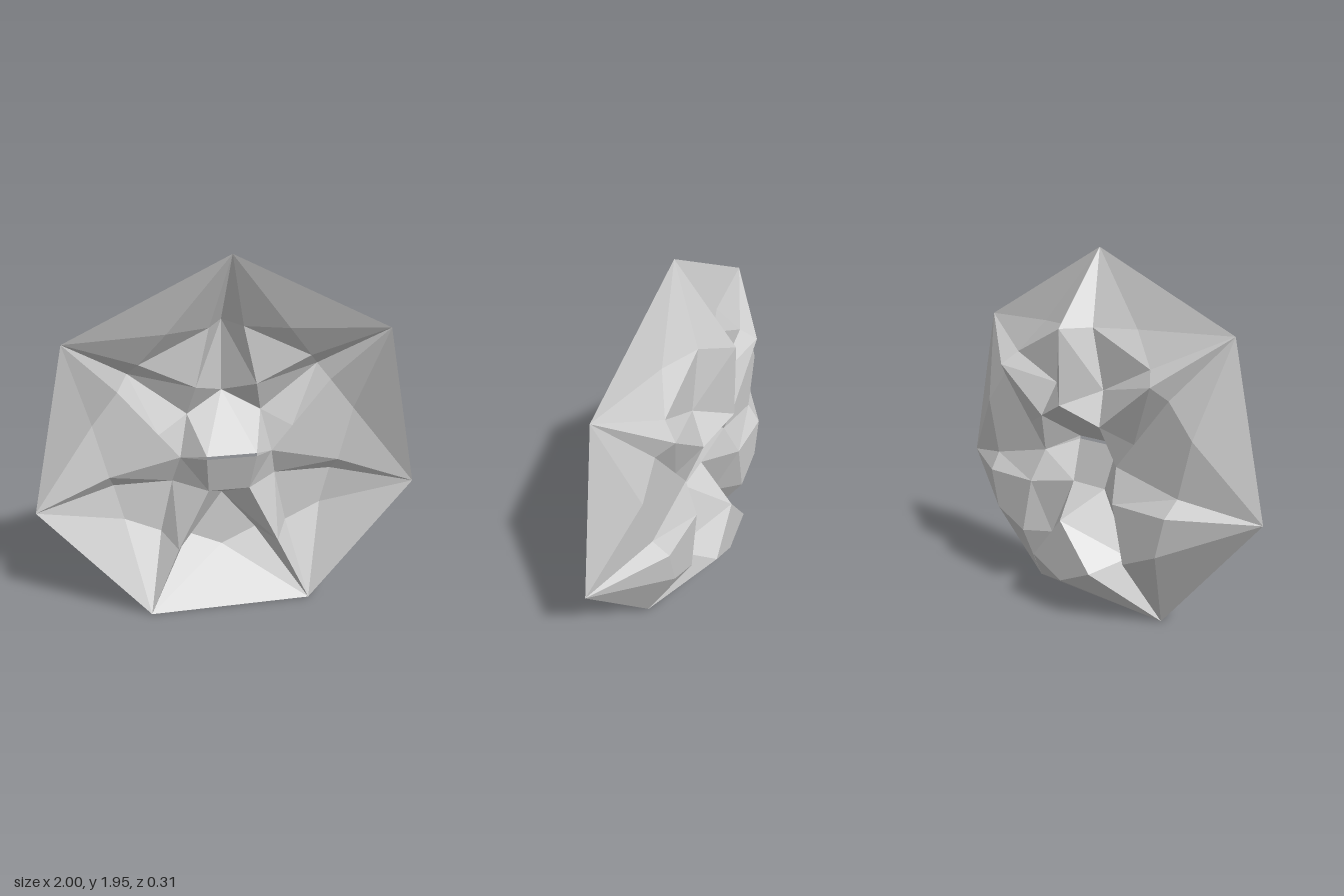
import * as THREE from 'three';

const N = 7;
const R = 1.0257;                       // outer radius
const STEP = Math.PI * 2 / N;
const CY = R * Math.cos(STEP / 2);      // centre height
const H = 0.0785;                       // one depth layer
const c = (k) => Math.cos(k * Math.PI / N);

// Radii where the chords of the seven-pointed stars cross
const R_MID = R * c(2);                 // middle of a short chord
const R_GAP = R * c(2) / c(1);          // short chords crossing between arms
const R_CROSS = R * c(3) / c(2);        // long chords crossing between arms
const R_HUB = R * c(3) / c(1);          // inner heptagon
const HALF = R_MID * Math.tan(Math.PI / 2 - 3 * Math.PI / N - Math.PI / 14 + 0.0) || 0;
const ARM = (R - R_MID) * Math.tan(Math.PI / 14); // half width of an arm at its fold

// Point at radius r, i steps clockwise from the top, shifted t sideways
function at(i, r, z, t = 0) {
  const a = i * STEP;
  return [
    r * Math.sin(a) + t * Math.cos(a),
    CY + r * Math.cos(a) - t * Math.sin(a),
    z,
  ];
}

// Depth layers, mirrored about x = 0
const armZ = (i) => (Math.min(i % N, N - (i % N)) - 2) * H;
const gapZ = (i) => (1 - Math.min(i % N, 6 - (i % N))) * H;
const foldZ = (i) => Math.min(0, gapZ(i));

const tip = (i) => at(i, R, 2 * H);
const mid = (i) => at(i, R_MID, armZ(i));
const hub = (i) => at(i, R_HUB, armZ(i));
const gap = (i) => at(i + 0.5, R_GAP, gapZ(i));
const cross = (i) => at(i + 0.5, R_CROSS, foldZ(i));
const foldR = (i) => at(i, R_MID, foldZ(i), ARM);          // clockwise side
const foldL = (i) => at(i, R_MID, foldZ(i + N - 1), -ARM); // other side

const material = new THREE.MeshStandardMaterial({
  color: 0xcccccc, flatShading: true, side: THREE.DoubleSide,
});

// Mesh from convex polygons, each split as a fan
function facetMesh(name, polygons) {
  const pos = [];
  for (const p of polygons) {
    for (let k = 1; k < p.length - 1; k++) pos.push(...p[0], ...p[k], ...p[k + 1]);
  }
  const g = new THREE.BufferGeometry();
  g.setAttribute('position', new THREE.Float32BufferAttribute(pos, 3));
  g.computeVertexNormals();
  const mesh = new THREE.Mesh(g, material);
  mesh.name = name;
  return mesh;
}

export function createModel() {
  const group = new THREE.Group();
  group.name = 'foldedHeptagonStar';

  for (let i = 0; i < N; i++) {
    const j = i + 1, h = i + N - 1;

    // Creased arm running from the tip to the hub
    group.add(facetMesh('arm' + i, [
      [tip(i), mid(i), foldR(i)],
      [tip(i), foldL(i), mid(i)],
      [mid(i), hub(i), cross(i), foldR(i)],
      [mid(i), foldL(i), cross(h), hub(i)],
    ]));

    // Web between neighbouring arms
    group.add(facetMesh('web' + i, [
      [foldR(i), cross(i), foldL(j)],
      [foldR(i), foldL(j), gap(i)],
      [tip(i), foldR(i), gap(i)],
      [gap(i), foldL(j), tip(j)],
      [tip(i), gap(i), tip(j)],
      [cross(i), hub(i), hub(j)],
    ]));
  }

  // Raised hub, open along a narrow slit
  const upper = (s) => [s * 0.13, 0.935, 2 * H];
  const lower = (s) => [s * 0.13, 0.918, 2 * H];
  group.add(facetMesh('hub', [
    [hub(0), upper(-1), upper(1)],
    [hub(0), upper(1), hub(1)],
    [hub(0), hub(6), upper(-1)],
    [hub(1), upper(1), hub(2)],
    [hub(6), hub(5), upper(-1)],
    [upper(1), lower(1), hub(2)],
    [upper(-1), hub(5), lower(-1)],
    [hub(2), lower(1), hub(3)],
    [hub(5), hub(4), lower(-1)],
    [lower(-1), hub(4), hub(3), lower(1)],
  ]));

  return group;
}
